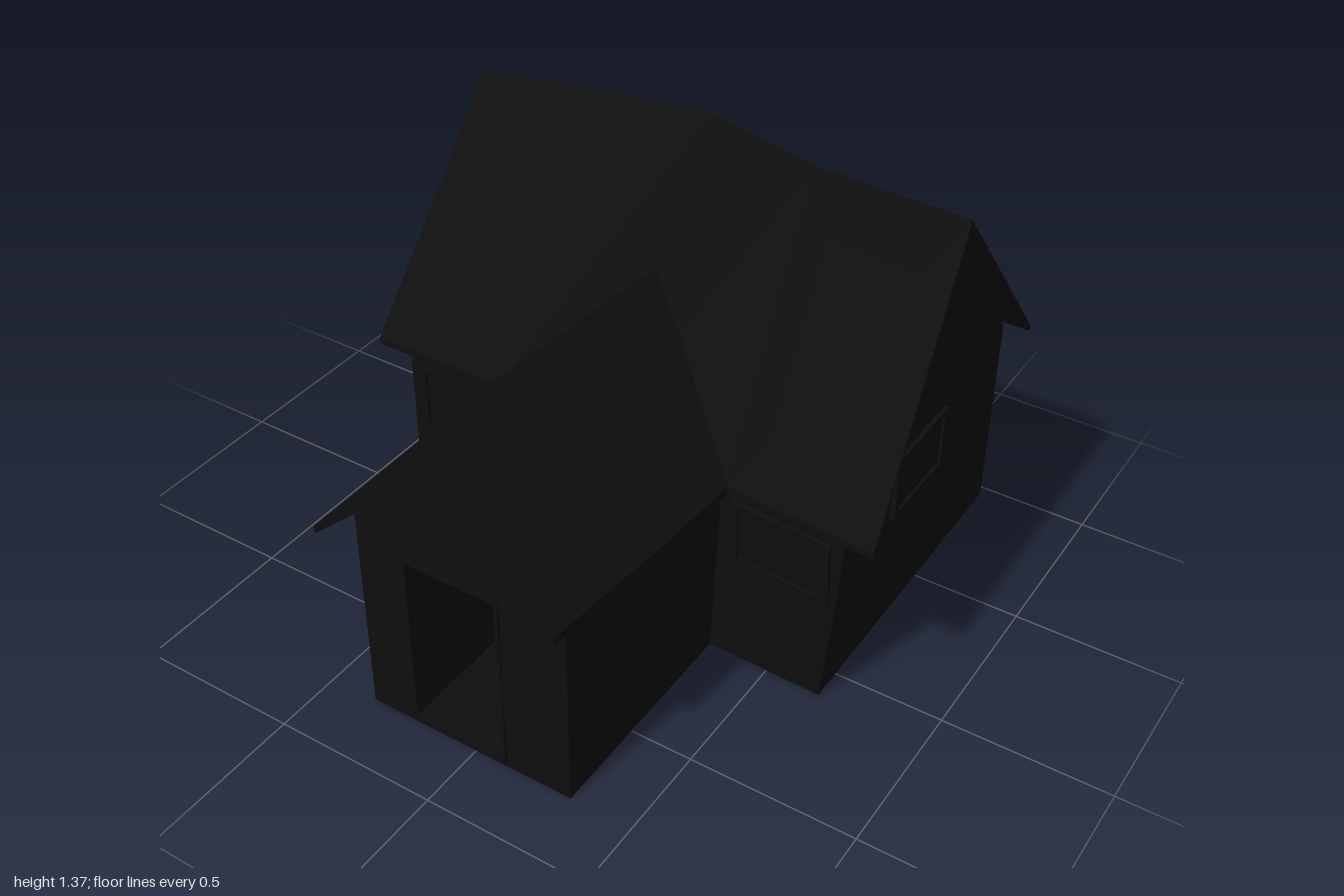
import * as THREE from 'three';

export function createModel() {
  const house = new THREE.Group();
  house.name = 'house';
  const mat = new THREE.MeshStandardMaterial({ color: 0x0e0e0e, flatShading: true, side: THREE.DoubleSide });

  function add(geo, name, parent = house) {
    const mesh = new THREE.Mesh(geo, mat);
    mesh.name = name;
    parent.add(mesh);
    return mesh;
  }

  // Open surface through rows of points
  function surface(rows) {
    const n = rows[0].length, index = [];
    for (let r = 0; r < rows.length - 1; r++)
      for (let c = 0; c < n - 1; c++) {
        const a = r * n + c, b = a + 1, d = a + n, e = d + 1;
        index.push(a, b, e, a, e, d);
      }
    const geo = new THREE.BufferGeometry();
    geo.setAttribute('position', new THREE.Float32BufferAttribute(rows.flat(2), 3));
    geo.setIndex(index);
    const flat = geo.toNonIndexed();
    flat.computeVertexNormals();
    return flat;
  }

  // Roof sheet: eave, ridge, eave rows with a thin underside and a closed rim
  function roof(rows, thickness, name) {
    const group = new THREE.Group();
    group.name = name;
    house.add(group);
    const drop = ([x, y, z]) => [x, y - thickness, z];
    const last = rows[0].length - 1;
    add(surface(rows), name + 'Top', group);
    add(surface(rows.map(r => r.map(drop)).reverse()), name + 'Underside', group);
    const rims = [rows[0].slice().reverse(), rows[rows.length - 1],
      rows.map(r => r[0]), rows.map(r => r[last]).reverse()];
    for (const rim of rims) add(surface([rim.map(drop), rim]), name + 'Edge', group);
  }

  // Main roof with a swollen, wavering ridge and one pulled-out corner
  roof([
    [[-0.83, 0.65, 0.11], [-0.4, 0.65, 0.11], [-0.04, 0.65, 0.13], [0.38, 0.65, 0.15], [0.83, 0.65, 0.18]],
    [[-0.83, 1.285, -0.45], [-0.4, 1.32, -0.475], [-0.04, 1.37, -0.44], [0.3, 1.325, -0.41], [0.74, 1.285, -0.44]],
    [[-0.83, 0.65, -1], [-0.4, 0.65, -1], [-0.04, 0.65, -1], [0.3, 0.65, -1], [0.74, 0.65, -1]],
  ], 0.02, 'mainRoof');

  // Entrance wing roof with a pointed front overhang
  roof([
    [[-0.42, 0.65, 0.1], [-0.42, 0.65, 0.45], [-0.42, 0.65, 0.87]],
    [[-0.045, 1.02, -0.19], [-0.045, 1.02, 0.37], [-0.045, 1.02, 1]],
    [[0.385, 0.65, 0.12], [0.37, 0.65, 0.45], [0.335, 0.65, 0.87]],
  ], 0.025, 'wingRoof');

  // Main walls
  add(surface([
    [[0.67, 0, -0.965], [-0.74, 0, -0.965]],
    [[0.67, 0.65, -0.965], [-0.74, 0.65, -0.965]],
  ]), 'backWall');
  add(surface([
    [[-0.74, 0, 0.08], [-0.35, 0, 0.08], [0.31, 0, 0.09], [0.67, 0, 0.1]],
    [[-0.74, 0.25, 0.08], [-0.35, 0.25, 0.08], [0.32, 0.25, 0.1], [0.7, 0.25, 0.12]],
    [[-0.74, 0.64, 0.08], [-0.35, 0.64, 0.08], [0.35, 0.64, 0.12], [0.74, 0.64, 0.15]],
  ]), 'frontWall');
  add(surface([
    [[0.67, 0, 0.1], [0.67, 0, -0.2], [0.67, 0, -0.44], [0.67, 0, -0.965]],
    [[0.7, 0.25, 0.12], [0.67, 0.25, -0.2], [0.67, 0.25, -0.44], [0.67, 0.25, -0.965]],
    [[0.74, 0.64, 0.15], [0.67, 0.64, -0.2], [0.67, 0.64, -0.44], [0.67, 0.64, -0.965]],
    [[0.74, 0.64, 0.15], [0.685, 1.0, -0.2], [0.67, 1.27, -0.44], [0.67, 0.64, -0.965]],
  ]), 'leftGableWall');
  add(surface([
    [[-0.74, 0, -0.965], [-0.74, 0, -0.45], [-0.74, 0, 0.08]],
    [[-0.74, 0.64, -0.965], [-0.74, 1.275, -0.45], [-0.74, 0.65, 0.08]],
  ]), 'rightGableWall');

  // Wing walls; the front gable has a doorway
  const gable = new THREE.Shape([[-0.35, 0], [0.31, 0], [0.31, 0.66], [-0.045, 1.0], [-0.35, 0.69]]
    .map(p => new THREE.Vector2(...p)));
  gable.holes.push(new THREE.Path([[-0.2, 0.02], [-0.2, 0.585], [0.1, 0.585], [0.1, 0.02]]
    .map(p => new THREE.Vector2(...p))));
  add(new THREE.ShapeGeometry(gable), 'wingFrontWall').position.z = 0.79;
  add(surface([
    [[-0.35, 0, 0.08], [-0.35, 0, 0.79]],
    [[-0.35, 0.69, 0.08], [-0.35, 0.69, 0.79]],
  ]), 'wingRightWall');
  add(surface([
    [[0.31, 0, 0.79], [0.31, 0, 0.45], [0.31, 0, 0.09]],
    [[0.31, 0.66, 0.79], [0.33, 0.66, 0.45], [0.35, 0.66, 0.12]],
  ]), 'wingLeftWall');

  // Deep doorway: sides, ceiling and floor, closed at the back
  const outline = z => [[-0.2, 0.02, z], [0.1, 0.02, z], [0.1, 0.585, z], [-0.2, 0.585, z], [-0.2, 0.02, z]];
  add(surface([outline(0.79), outline(0.27)]), 'doorway');
  const door = add(new THREE.BoxGeometry(0.3, 0.565, 0.02), 'door');
  door.position.set(-0.05, 0.3025, 0.27);

  // Rectangular surround with an opening
  function frame(w, h, t, depth) {
    const rect = (C, x, y) => new C([[-x, -y], [x, -y], [x, y], [-x, y]].map(p => new THREE.Vector2(...p)));
    const shape = rect(THREE.Shape, w / 2, h / 2);
    shape.holes.push(rect(THREE.Path, w / 2 - t, h / 2 - t));
    return new THREE.ExtrudeGeometry(shape, { depth, bevelEnabled: false });
  }
  add(frame(0.31, 0.575, 0.012, 0.006), 'doorFrame').position.set(-0.05, 0.3025, 0.79);

  // Windows: x, y, z, width, height, turn, lean
  const windows = [
    ['frontRightWindow', -0.565, 0.48, 0.08, 0.27, 0.22, 0, 0],
    ['frontLeftWindow', 0.54, 0.48, 0.124, 0.31, 0.22, -0.07, 0.07],
    ['leftGableWindow', 0.67, 0.48, -0.425, 0.31, 0.21, Math.PI / 2, 0],
    ['rightGableWindow', -0.74, 0.48, -0.425, 0.31, 0.21, -Math.PI / 2, 0],
  ];
  for (const [name, x, y, z, w, h, turn, lean] of windows) {
    const win = new THREE.Group();
    win.name = name;
    win.position.set(x, y, z);
    win.rotation.set(lean, turn, 0);
    house.add(win);
    add(frame(w, h, 0.02, 0.014), name + 'Frame', win);
    add(new THREE.PlaneGeometry(w - 0.03, h - 0.03), name + 'Pane', win).position.z = 0.004;
  }

  // Raised inner floor beside the wing
  const floor = add(new THREE.BoxGeometry(0.38, 0.01, 1.03), 'innerFloor');
  floor.position.set(-0.545, 0.22, -0.44);

  return house;
}
